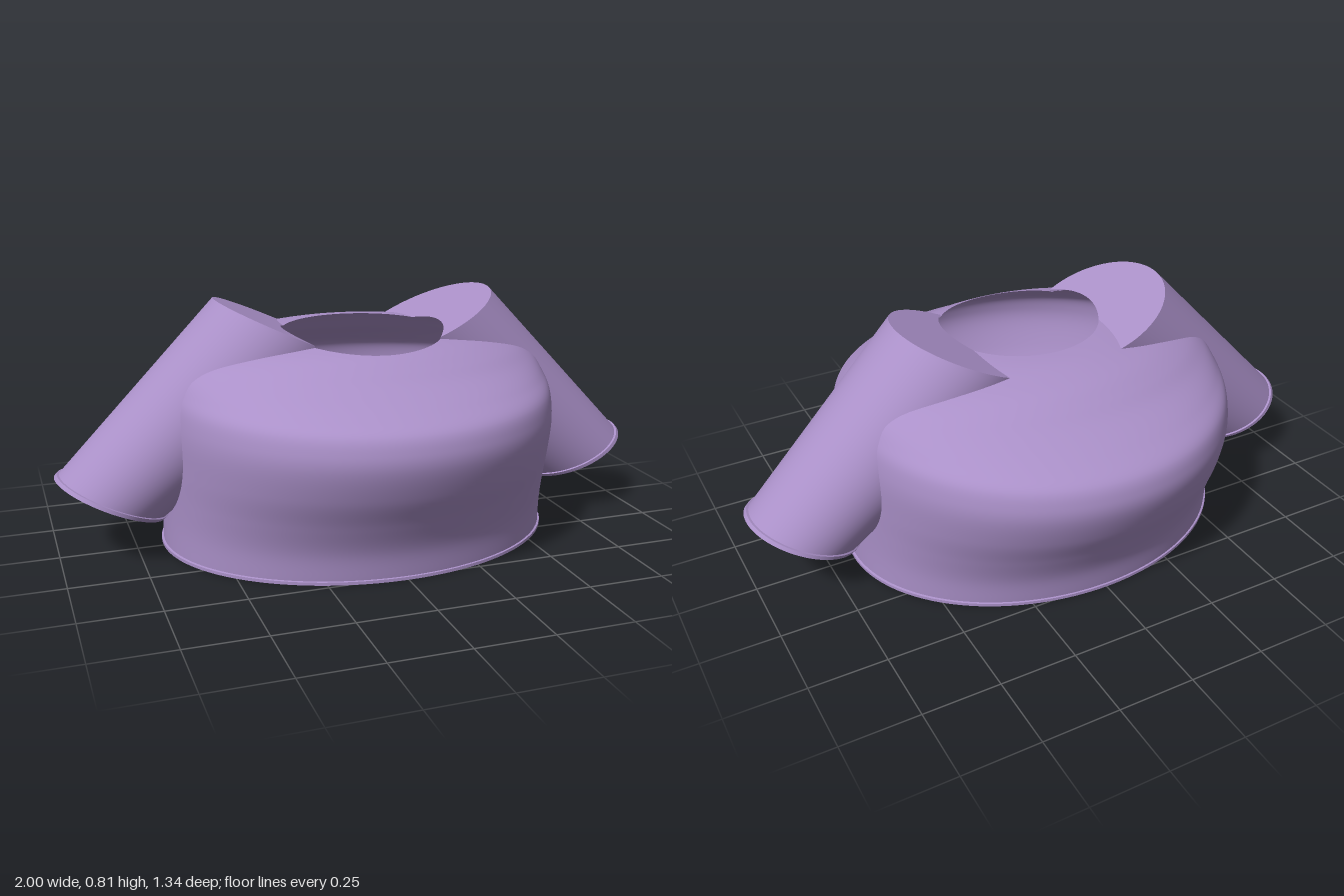
import * as THREE from 'three';

const material = new THREE.MeshStandardMaterial({ color: 0xaa90c8, side: THREE.DoubleSide });

// Torso profile: half width (x), height (y), half depth (z)
const profile = new THREE.CatmullRomCurve3([
  [0.658, 0, 0.516], [0.657, 0.1, 0.535], [0.657, 0.2, 0.58], [0.658, 0.3, 0.633],
  [0.66, 0.4, 0.666], [0.658, 0.45, 0.665], [0.652, 0.5, 0.645], [0.64, 0.545, 0.57],
  [0.615, 0.595, 0.468], [0.57, 0.63, 0.415], [0.49, 0.66, 0.365], [0.40, 0.68, 0.31],
  [0.28, 0.697, 0.235], [0.12, 0.704, 0.11], [0.005, 0.705, 0.005],
].map(p => new THREE.Vector3(...p))).getPoints(110);

// Sleeve: slanted elliptical sections running from shoulder cap to cuff
const shoulder = { x: 0.24, y: 0.705 }, axis = { x: 0.59, y: -0.515 };
const across = { x: 0.91, y: 0.415 };
const radiusU = t => 0.253 - 0.072 * t, radiusZ = t => 0.245 - 0.06 * t;

// Signed tests: positive outside, negative inside
function outsideTorso(p) {
  if (p.y >= 0.705) return 1;
  let i = 1;
  while (i < profile.length - 1 && profile[i].y < p.y) i++;
  const a = profile[i - 1], b = profile[i];
  const k = THREE.MathUtils.clamp((p.y - a.y) / (b.y - a.y), 0, 1);
  const q = new THREE.Vector3().lerpVectors(a, b, k);
  return Math.min(1, (p.x / q.x) ** 2 + (p.z / q.z) ** 2 - 1);
}
function outsideSleeve(p) {
  const x = Math.abs(p.x) - shoulder.x, y = p.y - shoulder.y;
  const det = axis.x * across.y - axis.y * across.x;
  const t = (x * across.y - y * across.x) / det;
  const s = (axis.x * y - axis.y * x) / det;
  const k = THREE.MathUtils.clamp(t, 0, 1);
  return Math.max((s / radiusU(k)) ** 2 + (p.z / radiusZ(k)) ** 2 - 1, -t * 4, (t - 1) * 4);
}
const outsideNeck = p => Math.hypot(p.x, p.z - 0.08) / 0.265 - 1;

// Closed rings of points, joined into a smooth skin
function skin(rows, segments, point) {
  const positions = [], index = [];
  for (let j = 0; j < rows; j++) {
    for (let i = 0; i < segments; i++) {
      positions.push(...point(j, (i / segments) * Math.PI * 2));
      if (j === rows - 1) continue;
      const n = (i + 1) % segments, a = j * segments;
      index.push(a + i, a + n, a + segments + i, a + n, a + segments + n, a + segments + i);
    }
  }
  const g = new THREE.BufferGeometry();
  g.setAttribute('position', new THREE.Float32BufferAttribute(positions, 3));
  g.setIndex(index);
  g.computeVertexNormals();
  return g;
}

// Keep only the part of a skin where the test is positive
function trim(geometry, test) {
  const g = geometry.index ? geometry.toNonIndexed() : geometry;
  const P = g.attributes.position, N = g.attributes.normal, pos = [], nor = [];
  for (let i = 0; i < P.count; i += 3) {
    const tri = [0, 1, 2].map(k => {
      const p = new THREE.Vector3().fromBufferAttribute(P, i + k);
      return { p, n: new THREE.Vector3().fromBufferAttribute(N, i + k), f: test(p) };
    });
    const poly = [];
    tri.forEach((a, k) => {
      const b = tri[(k + 1) % 3];
      if (a.f >= 0) poly.push(a);
      if ((a.f >= 0) !== (b.f >= 0)) {
        const w = a.f / (a.f - b.f);
        poly.push({ p: a.p.clone().lerp(b.p, w), n: a.n.clone().lerp(b.n, w).normalize() });
      }
    });
    for (let k = 1; k + 1 < poly.length; k++) {
      for (const v of [poly[0], poly[k], poly[k + 1]]) {
        pos.push(...v.p.toArray());
        nor.push(...v.n.toArray());
      }
    }
  }
  const out = new THREE.BufferGeometry();
  out.setAttribute('position', new THREE.Float32BufferAttribute(pos, 3));
  out.setAttribute('normal', new THREE.Float32BufferAttribute(nor, 3));
  return out;
}

function add(parent, name, geometry) {
  const mesh = new THREE.Mesh(geometry, material);
  mesh.name = name;
  parent.add(mesh);
}

export function createModel() {
  const model = new THREE.Group();
  model.name = 'garment';

  // Torso with neck and arm openings
  const torso = skin(profile.length, 144, (j, a) => {
    const q = profile[j];
    return [q.x * Math.sin(a), q.y, q.z * Math.cos(a)];
  });
  add(model, 'torso', trim(trim(torso, outsideNeck), outsideSleeve));

  // Bottom hem: small lip folded inward, as [height, offset]
  const hem = new THREE.Group();
  hem.name = 'hem';
  const fold = [[0.03, -0.02], [0, -0.02], [0, 0.007], [0.01, 0.007], [0.012, 0]];
  for (let k = 0; k + 1 < fold.length; k++) {
    add(hem, 'hemBand', skin(2, 144, (j, a) => {
      const [y, d] = fold[k + j];
      return [(0.658 + d) * Math.sin(a), y, (0.516 + d) * Math.cos(a)];
    }));
  }
  model.add(hem);

  // Sleeves: tube, flat shoulder cap and cuff
  for (const side of [1, -1]) {
    const sleeve = new THREE.Group();
    sleeve.name = side > 0 ? 'leftSleeve' : 'rightSleeve';
    const at = (t, r, a) => {
      const u = radiusU(t) * r * Math.cos(a);
      return [
        side * (shoulder.x + axis.x * t + across.x * u),
        shoulder.y + axis.y * t + across.y * u,
        side * radiusZ(t) * r * Math.sin(a),
      ];
    };
    const visible = g => trim(trim(g, outsideTorso), outsideNeck);
    add(sleeve, 'sleeveTube', visible(skin(41, 80, (j, a) => at(j / 40, 1, a))));
    add(sleeve, 'shoulderCap', visible(skin(21, 80, (j, a) => at(0, Math.max(0.001, j / 20), a))));
    const cuff = [[0.98, 1], [0.982, 1.035], [1, 1.035], [1, 0.9], [0.93, 0.9]];
    for (let k = 0; k + 1 < cuff.length; k++) {
      add(sleeve, 'cuffBand', visible(skin(2, 80, (j, a) => at(...cuff[k + j], a))));
    }
    model.add(sleeve);
  }
  return model;
}
